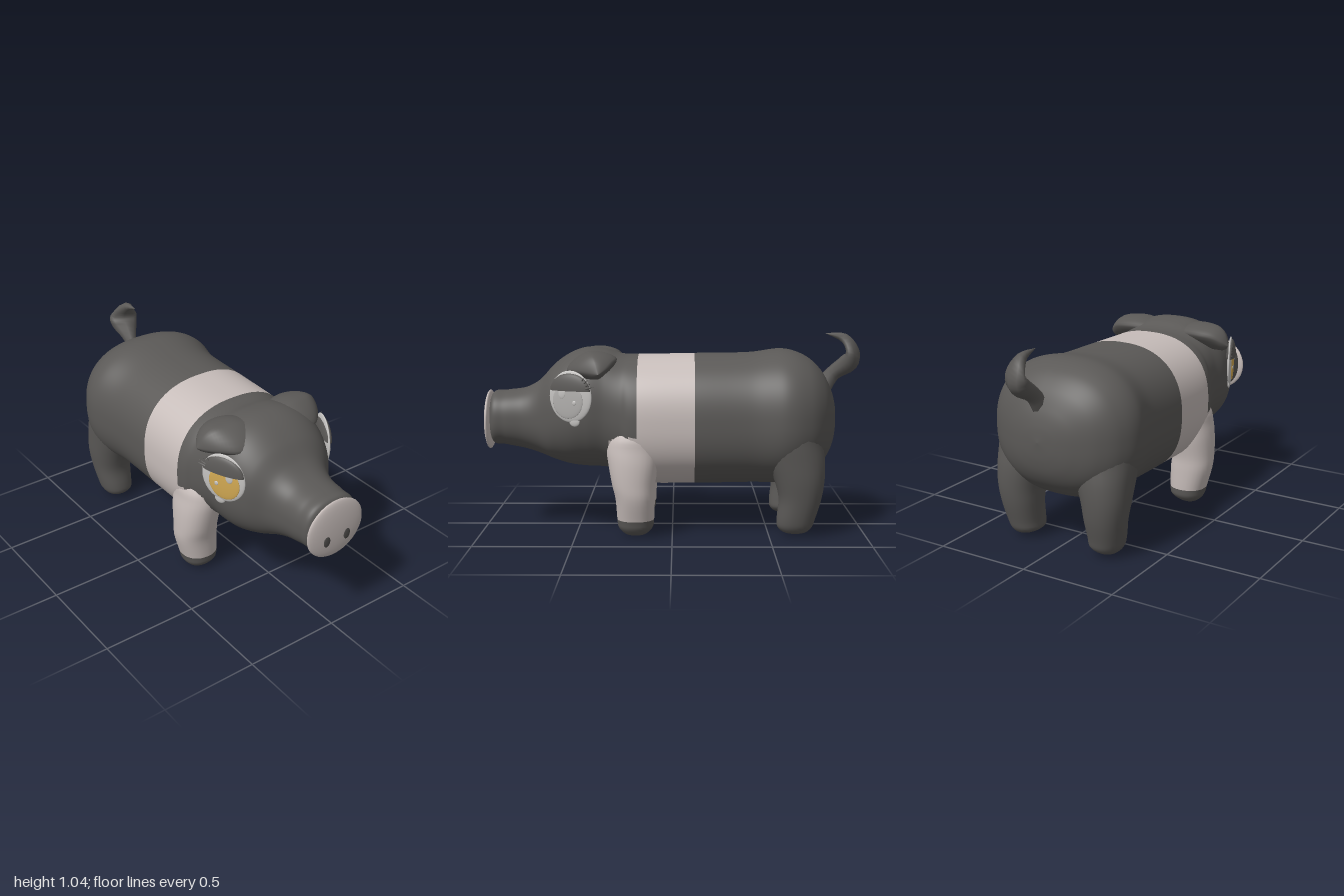
import * as THREE from 'three';

const mat = (name, color) => Object.assign(new THREE.MeshStandardMaterial({ color }), { name });
const dark = mat('charcoalSkin', 0x5b5957);
const pale = mat('palePinkSkin', 0xc7bdba);
const gold = mat('goldIris', 0xd2a953);
const grey = mat('greyIris', 0xb2b0ae);
const white = mat('eyeWhite', 0xc6c4c2);
const black = mat('nostrilDark', 0x4d4b49);
dark.side = THREE.DoubleSide;

const V = (a) => new THREE.Vector3(...a);

// Smooth skin through sections [x, y, z, radius along u, radius along v].
// axis: growth direction, or null to follow the path. pick(centroid) chooses a material.
function loft(name, sections, { axis = null, u, power = 2, sides = 36, steps = 4, materials = [dark], pick = () => 0 }) {
  const path = new THREE.CatmullRomCurve3(sections.map((s) => V(s.slice(0, 3))), false, 'catmullrom');
  const radii = new THREE.CatmullRomCurve3(sections.map((s) => V([s[3], s[4], 0])), false, 'catmullrom');
  const rows = (sections.length - 1) * steps;
  const pos = [];
  const bend = (c) => Math.sign(c) * Math.abs(c) ** (2 / power);
  for (let i = 0; i <= rows; i++) {
    const t = i / rows, c = path.getPoint(t), r = radii.getPoint(t);
    const w = axis ? V(axis) : path.getTangent(t);
    const v = w.clone().cross(V(u)).normalize();
    for (let j = 0; j < sides; j++) {
      const a = (j / sides) * Math.PI * 2;
      const p = c.clone()
        .addScaledVector(V(u), bend(Math.cos(a)) * Math.max(r.x, 0))
        .addScaledVector(v, bend(Math.sin(a)) * Math.max(r.y, 0));
      pos.push(p.x, p.y, p.z);
    }
  }
  const buckets = materials.map(() => []);
  const point = (k) => V(pos.slice(k * 3, k * 3 + 3));
  for (let i = 0; i < rows; i++) {
    for (let j = 0; j < sides; j++) {
      const k = (j + 1) % sides;
      const a = i * sides + j, b = i * sides + k, c = a + sides, d = b + sides;
      const mid = point(a).add(point(b)).add(point(c)).add(point(d)).multiplyScalar(0.25);
      buckets[pick(mid)].push(a, b, c, b, d, c);
    }
  }
  const geo = new THREE.BufferGeometry();
  geo.setAttribute('position', new THREE.Float32BufferAttribute(pos, 3));
  geo.setIndex(buckets.flat());
  let start = 0;
  buckets.forEach((b, m) => { geo.addGroup(start, b.length, m); start += b.length; });
  geo.computeVertexNormals();
  const mesh = new THREE.Mesh(geo, materials.length > 1 ? materials : materials[0]);
  mesh.name = name;
  return mesh;
}

// Flattened ball used for discs and plates
function disc(name, material, [x, y, z], [sx, sy, sz], upperHalf = false) {
  const geo = new THREE.SphereGeometry(1, 32, 16, 0, Math.PI * 2, 0, upperHalf ? Math.PI / 2 : Math.PI);
  const mesh = new THREE.Mesh(geo, material);
  mesh.name = name;
  mesh.position.set(x, y, z);
  mesh.scale.set(sx, sy, sz);
  return mesh;
}

function makeBody() {
  // x, top, bottom, half width
  const profile = [
    [-0.865, 0.6, 0.6, 0], [-0.855, 0.68, 0.5, 0.1], [-0.83, 0.76, 0.42, 0.19], [-0.78, 0.85, 0.35, 0.29],
    [-0.7, 0.92, 0.29, 0.365], [-0.58, 0.955, 0.255, 0.4], [-0.4, 0.935, 0.25, 0.365], [-0.115, 0.93, 0.245, 0.36],
    [0.18, 0.925, 0.25, 0.355], [0.27, 0.93, 0.31, 0.325], [0.35, 0.955, 0.33, 0.31], [0.44, 0.965, 0.335, 0.315],
    [0.53, 0.94, 0.345, 0.305], [0.62, 0.88, 0.37, 0.265], [0.7, 0.795, 0.4, 0.2], [0.78, 0.75, 0.425, 0.17],
    [0.88, 0.735, 0.445, 0.16], [0.955, 0.72, 0.465, 0.14], [0.96, 0.6, 0.6, 0],
  ];
  // Pale belt plus a pale patch round each shoulder
  const isPale = (p) => (p.x > -0.115 && p.x < 0.18)
    || (p.x > 0 && p.x < 0.325 && p.y < 0.56 - 0.15 * p.x && Math.abs(p.z) > 0.17);
  return loft('bodyAndHead', profile.map(([x, t, b, w]) => [x, (t + b) / 2, 0, (t - b) / 2, w]), {
    axis: [1, 0, 0], u: [0, 1, 0], power: 2.4, sides: 144, steps: 10,
    materials: [dark, pale], pick: (p) => (isPale(p) ? 1 : 0),
  });
}

// Leg rows: y, x, z, half depth in z, half length in x
function makeLeg(name, rows, s, materials, pick) {
  return loft(name, rows.map(([y, x, z, rz, rx]) => [x, y, s * z, rz, rx]), {
    axis: [0, 1, 0], u: [0, 0, 1], power: 2.2, sides: 28, materials, pick,
  });
}
const frontRows = [
  [0.005, 0.19, 0.25, 0, 0], [0.012, 0.19, 0.25, 0.045, 0.05], [0.045, 0.19, 0.238, 0.088, 0.088],
  [0.09, 0.19, 0.24, 0.098, 0.096], [0.2, 0.192, 0.255, 0.113, 0.102], [0.28, 0.2, 0.26, 0.112, 0.112],
  [0.38, 0.2, 0.25, 0.118, 0.13], [0.46, 0.2, 0.23, 0.126, 0.14], [0.53, 0.19, 0.2, 0.143, 0.14],
  [0.62, 0.17, 0.15, 0.13, 0.1], [0.68, 0.15, 0.1, 0, 0],
];
const backRows = [
  [0.015, -0.635, 0.25, 0, 0], [0.022, -0.635, 0.25, 0.045, 0.055], [0.05, -0.635, 0.24, 0.082, 0.09],
  [0.1, -0.642, 0.245, 0.092, 0.1], [0.2, -0.66, 0.25, 0.105, 0.11], [0.3, -0.655, 0.25, 0.12, 0.13],
  [0.4, -0.635, 0.232, 0.145, 0.152], [0.5, -0.61, 0.2, 0.182, 0.165], [0.6, -0.6, 0.18, 0.2, 0.165],
  [0.7, -0.6, 0.15, 0.19, 0.14], [0.8, -0.6, 0.1, 0, 0],
];

// Pointed ear folding outward, with a broad root in the head
function makeEar(s) {
  const rows = [[0.43, 0.87, 0.06, 0.12, 0.06], [0.42, 0.885, 0.16, 0.135, 0.07], [0.41, 0.885, 0.24, 0.13, 0.07],
    [0.395, 0.882, 0.3, 0.095, 0.062], [0.38, 0.868, 0.342, 0.05, 0.042], [0.37, 0.85, 0.37, 0, 0]];
  return loft(s > 0 ? 'leftEar' : 'rightEar', rows.map(([x, y, z, a, b]) => [x, y, s * z, a, b]),
    { axis: [0, 0, s], u: [0.97, -0.23, 0], power: 1.5, sides: 24 });
}

function makeEye(s) {
  const eye = new THREE.Group();
  eye.name = s > 0 ? 'leftEye' : 'rightEye';
  eye.position.set(0.514, 0.735, s * 0.312);
  eye.rotation.y = s > 0 ? 0.4 : Math.PI - 0.4;
  eye.add(
    disc('eyeWhite', white, [0, 0, 0], [0.12, 0.132, 0.015]),
    disc('eyeDrip', white, [-s * 0.02, -0.125, -0.002], [0.03, 0.028, 0.008]),
    disc('iris', s > 0 ? gold : grey, [s * 0.01, -0.022, 0.012], [0.085, 0.09, 0.007]),
    disc('largeGlint', white, [s * 0.04, 0.016, 0.018], [0.02, 0.026, 0.004]),
    disc('smallGlint', white, [-s * 0.03, -0.03, 0.018], [0.011, 0.012, 0.004]),
    disc('eyelid', dark, [0, 0.03, 0.004], [0.113, 0.088, 0.026], true),
  );
  // Lashes fanned at the outer rear corner
  for (let i = 0; i < 4; i++) {
    const lash = new THREE.Mesh(new THREE.ConeGeometry(0.007, 0.05, 6), dark);
    lash.name = 'eyelash';
    lash.position.set(-s * (0.118 - i * 0.014), 0.05 + i * 0.012, 0.014);
    lash.rotation.set(0.35, 0, s * (1.3 - i * 0.25));
    eye.add(lash);
  }
  return eye;
}

export function createModel() {
  const pig = new THREE.Group();
  pig.name = 'pig';
  pig.add(makeBody());

  for (const s of [1, -1]) {
    const side = s > 0 ? 'left' : 'right';
    pig.add(
      makeLeg(side + 'FrontLeg', frontRows, s, [dark, pale], (p) => (p.y > 0.09 ? 1 : 0)),
      makeLeg(side + 'BackLeg', backRows, s, [dark], () => 0),
      makeEar(s),
      makeEye(s),
      disc(side + 'Nostril', black, [0.994, 0.53, s * 0.062], [0.005, 0.03, 0.02]),
    );
  }

  // Snout plate
  pig.add(disc('snout', pale, [0.974, 0.578, 0], [0.023, 0.157, 0.172]));

  // Curled tail, broad at the bend and tapering to a tip
  pig.add(loft('tail', [
    [-0.79, 0.75, -0.02, 0.035, 0.05], [-0.85, 0.83, -0.03, 0.035, 0.04], [-0.93, 0.89, -0.045, 0.07, 0.05],
    [-0.945, 0.95, -0.05, 0.075, 0.03], [-0.9, 1.015, -0.045, 0.03, 0.025], [-0.8, 1.04, -0.04, 0, 0],
  ], { u: [-0.4, 0, 0.92], sides: 8 }));
  return pig;
}
